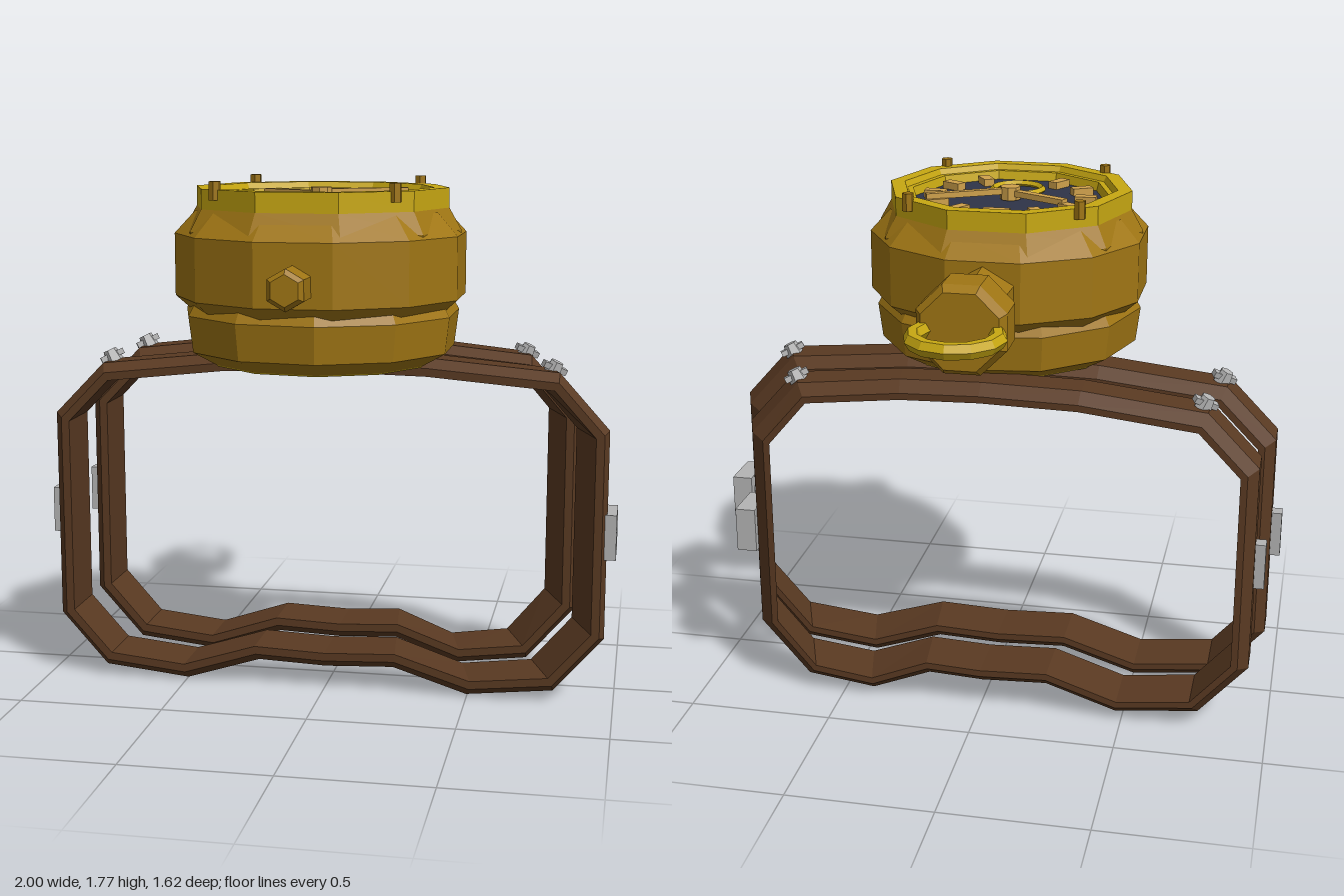
import * as THREE from 'three';

const mat = (name, color) => {
  const m = new THREE.MeshStandardMaterial({ color });
  m.name = name;
  return m;
};

// Faceted normals for every part
const flat = (geo) => {
  const g = geo.index ? geo.toNonIndexed() : geo;
  g.computeVertexNormals();
  return g;
};

// Closed strap band: chamfered section swept round a mitred outline
function bandGeometry(path, section, warp) {
  const n = path.length, m = section.length, pos = [], index = [];
  path.forEach(([x, y], i) => {
    const [px, py] = path[(i + n - 1) % n], [qx, qy] = path[(i + 1) % n];
    const a = new THREE.Vector2(y - py, px - x).normalize();
    const b = new THREE.Vector2(qy - y, x - qx).normalize();
    const mitre = a.clone().add(b).divideScalar(1 + a.dot(b));
    for (const [d, z] of section) pos.push(...warp(x + mitre.x * d, y + mitre.y * d, z));
    for (let j = 0; j < m; j++) {
      const k = (i + 1) % n, l = (j + 1) % m;
      const p = i * m + j, q = k * m + j, r = k * m + l, s = i * m + l;
      index.push(p, q, r, p, r, s);
    }
  });
  const g = new THREE.BufferGeometry();
  g.setAttribute('position', new THREE.Float32BufferAttribute(pos, 3));
  g.setIndex(index);
  return flat(g);
}

// Rectangular plate with rectangular holes, thickness along +x
function frameGeometry(w, h, depth, holes) {
  const rect = (T, x, y, rw, rh) => {
    const s = new T();
    s.moveTo(x - rw / 2, y - rh / 2);
    s.lineTo(x + rw / 2, y - rh / 2);
    s.lineTo(x + rw / 2, y + rh / 2);
    s.lineTo(x - rw / 2, y + rh / 2);
    s.closePath();
    return s;
  };
  const shape = rect(THREE.Shape, 0, 0, w, h);
  for (const [x, y, rw, rh] of holes) shape.holes.push(rect(THREE.Path, x, y, rw, rh));
  return flat(new THREE.ExtrudeGeometry(shape, { depth, bevelEnabled: false }).rotateY(Math.PI / 2));
}

export function createModel() {
  const model = new THREE.Group();
  model.name = 'wristCompassWatch';
  const brass = mat('darkBrass', 0xa07614);
  const gold = mat('gold', 0xc8a812);
  const leather = mat('brownLeather', 0x5a3a22);
  const steel = mat('steel', 0xb4b4b4);
  const navy = mat('navyDial', 0x2e3448);
  const pale = mat('paleBrass', 0xd0a24c);

  const add = (name, geo, material, parent = model) => {
    const mesh = new THREE.Mesh(geo, material);
    mesh.name = name;
    parent.add(mesh);
    return mesh;
  };
  const lathe = (profile, sides, turn = 0) => flat(new THREE.LatheGeometry(
    profile.map(([r, y]) => new THREE.Vector2(r, y)), sides, THREE.MathUtils.degToRad(turn)));

  // Two straps, narrowing towards the back on the right-hand wall
  const outline = [
    [0.97, 0.23], [0.97, 0.95], [0.8, 1.14], [0.35, 1.178], [0, 1.185], [-0.35, 1.178],
    [-0.79, 1.13], [-0.965, 0.95], [-0.965, 0.22], [-0.8, 0.035], [-0.5, 0.003],
    [-0.24, 0.085], [0, 0.075], [0.24, 0.085], [0.5, 0.003], [0.8, 0.035],
  ];
  const section = [[-0.035, -0.1], [0, -0.055], [0, 0.06], [-0.03, 0.1], [-0.058, 0.1], [-0.058, -0.1]];
  const straps = [
    { name: 'frontStrap', z: 0.092, dx: 0, dy: 0, left: -0.965, right: 0.925 },
    { name: 'backStrap', z: -0.218, dx: 0.038, dy: 0.012, left: -0.927, right: 0.805 },
  ];
  for (const s of straps) {
    const g = new THREE.Group();
    g.name = s.name;
    model.add(g);
    const warp = (x, y, w) => {
      const z = s.z + w, k = Math.min(1, Math.abs(x) / 0.8);
      return [x + k * (x > 0 ? 0.37 * (z - 0.17) : s.dx), y + s.dy, z];
    };
    add('strapBand', bandGeometry(outline, section, warp), leather, g);

    // Square double-slot buckle on the right, slim keeper on the left
    const buckle = add('buckle', frameGeometry(0.16, 0.155, 0.07,
      [[0, 0.024, 0.095, 0.028], [0, -0.024, 0.095, 0.028]]), steel, g);
    buckle.position.set(s.right, 0.588 + s.dy, s.z);
    const keeper = add('keeper', frameGeometry(0.05, 0.16, 0.04, [[0, 0, 0.02, 0.1]]), steel, g);
    keeper.position.set(s.left - 0.035, 0.588 + s.dy, s.z - 0.005);

    // Studs near the upper corners
    for (const x of [-0.775, 0.8]) {
      const [sx, sy, sz] = warp(x, 1.148, 0);
      const stud = new THREE.Group();
      stud.name = 'stud';
      stud.position.set(sx, sy, sz);
      stud.rotation.z = x > 0 ? -0.45 : 0.45;
      g.add(stud);
      add('studHead', flat(new THREE.CylinderGeometry(0.024, 0.033, 0.045, 6)), steel, stud);
      add('studTab', flat(new THREE.BoxGeometry(0.085, 0.02, 0.03)), steel, stud).rotation.y = 0.4;
    }
  }

  // Watch case, stacked faceted tiers
  const watch = new THREE.Group();
  watch.name = 'watch';
  watch.position.z = 0.22;
  model.add(watch);
  add('lowerCase', lathe([[0, 1.175], [0.37, 1.175], [0.45, 1.22], [0.465, 1.34], [0.42, 1.42]], 11, 8), brass, watch);
  add('middleCase', lathe([[0.4, 1.32], [0.485, 1.395], [0.485, 1.6], [0.415, 1.675]], 12, 15), brass, watch);
  add('upperCase', lathe([[0.465, 1.56], [0.465, 1.615], [0.425, 1.685]], 10, 18), brass, watch);
  add('backRim', lathe([[0.32, 1.18], [0.32, 1.17], [0.365, 1.17], [0.375, 1.18]], 11, 8), gold, watch);
  add('bezel', lathe([[0.425, 1.68], [0.425, 1.75], [0.375, 1.75], [0.365, 1.73], [0.345, 1.73], [0.335, 1.69]],
    10, 18), gold, watch);
  add('dial', lathe([[0.35, 1.7], [0, 1.7]], 10, 18), navy, watch);

  // Bezel screws
  for (const x of [-0.29, 0.29]) for (const z of [-0.295, 0.285]) {
    add('bezelScrew', flat(new THREE.CylinderGeometry(0.02, 0.02, 0.06, 6)), brass, watch)
      .position.set(x, 1.746, z);
  }

  // Bars laid radially on the dial
  const bar = (name, x0, z0, x1, z1, width, y, h = 0.02) => {
    const len = Math.hypot(x1 - x0, z1 - z0);
    const b = add(name, flat(new THREE.BoxGeometry(len, h, width)), pale, watch);
    b.position.set((x0 + x1) / 2, y, (z0 + z1) / 2);
    b.rotation.y = Math.atan2(z0 - z1, x1 - x0);
  };
  for (let i = 0; i < 12; i++) {
    if (i === 6) continue;
    const a = i * Math.PI / 6, s = Math.sin(a), c = -Math.cos(a);
    bar('hourMarker', 0.228 * s, 0.228 * c, 0.302 * s, 0.302 * c, i === 0 ? 0.09 : 0.038, 1.71, 0.03);
  }
  bar('hourHand', 0, 0, -0.21, -0.115, 0.03, 1.727);
  bar('minuteHand', 0, 0, 0.265, -0.145, 0.024, 1.733);
  add('handHub', flat(new THREE.CylinderGeometry(0.036, 0.036, 0.045, 8)), pale, watch).position.set(0, 1.726, 0);

  // Small seconds dial
  add('secondsRing', flat(new THREE.TorusGeometry(0.088, 0.012, 4, 16).rotateX(Math.PI / 2)), gold, watch)
    .position.set(0, 1.708, 0.14);
  bar('secondsHand', 0.005, 0.145, 0.05, 0.09, 0.018, 1.711, 0.015);

  // Crown knob at the front
  const knob = add('frontKnob', lathe([[0.066, 0], [0.066, 0.16], [0.05, 0.175], [0, 0.175]], 6)
    .rotateX(Math.PI / 2), brass);
  knob.position.set(0, 1.465, 0.635);

  // Pendant stem, collar and ring at the back
  const pendant = new THREE.Group();
  pendant.name = 'pendant';
  pendant.position.set(0, 1.465, 0);
  model.add(pendant);
  add('stem', lathe([[0.13, 0.18], [0.12, 0.25], [0.112, 0.43]], 6).rotateX(-Math.PI / 2), brass, pendant);
  add('collar', lathe([[0, 0.405], [0.135, 0.405], [0.157, 0.435], [0.157, 0.56], [0.135, 0.59], [0, 0.59]], 8, 22.5)
    .rotateX(-Math.PI / 2), brass, pendant);
  add('ring', flat(new THREE.TorusGeometry(0.135, 0.028, 6, 12).rotateX(Math.PI / 2)), gold, pendant)
    .position.z = -0.645;

  return model;
}
